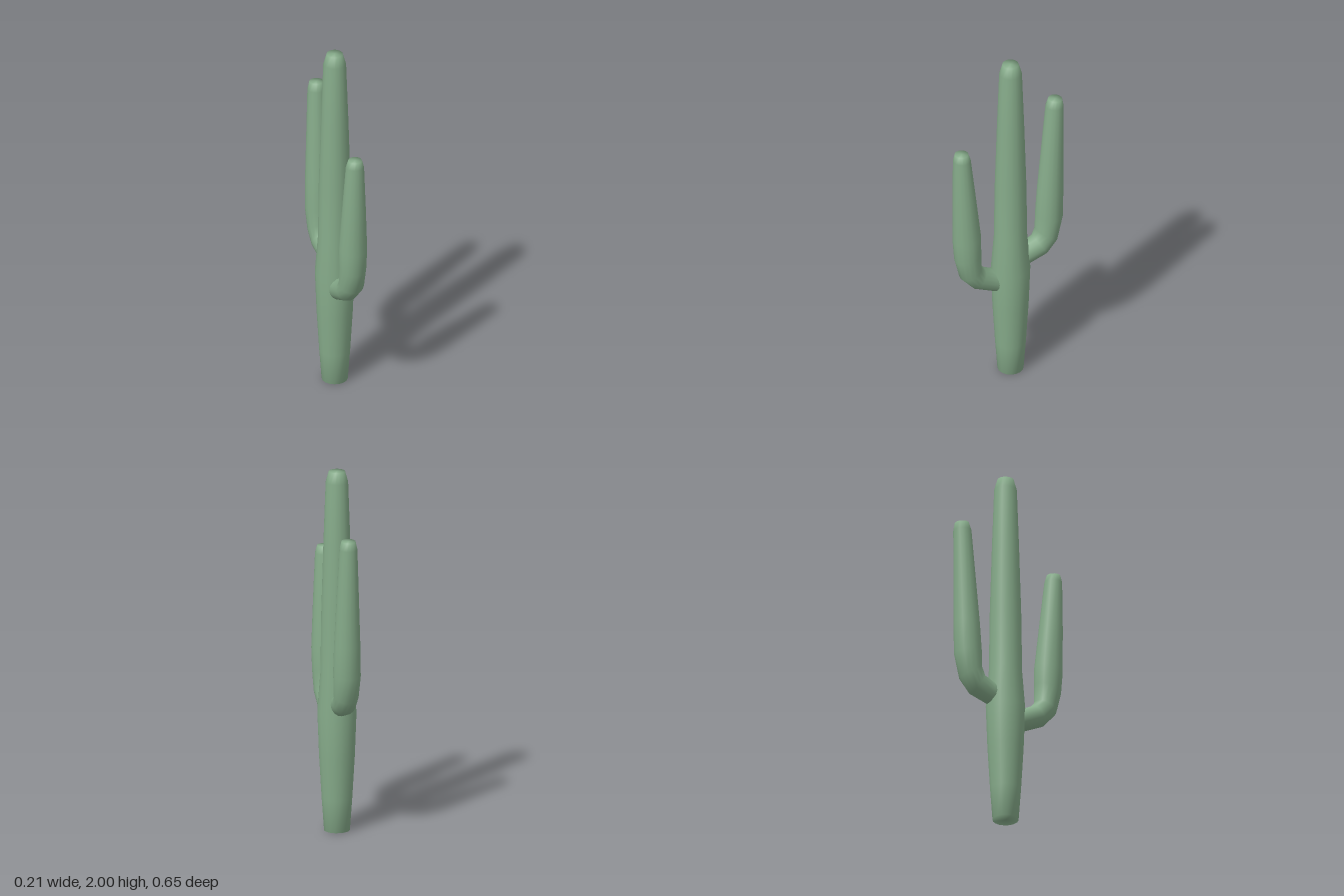
import * as THREE from 'three';

const SIDES = 16;
const material = new THREE.MeshStandardMaterial({ color: 0x86ab8a });

// Lofts a closed smooth skin through elliptical rings.
// Each ring: [centre x, half width in x, z1, y1, z2, y2], where the two (z, y)
// points are opposite ends of the ring in the side plane.
function loft(name, rings) {
  const pos = [], index = [];
  for (const [x, w, z1, y1, z2, y2] of rings) {
    for (let i = 0; i < SIDES; i++) {
      const a = (i / SIDES) * Math.PI * 2, c = Math.cos(a), t = (1 + Math.sin(a)) / 2;
      pos.push(x + w * c, y1 + (y2 - y1) * t, z1 + (z2 - z1) * t);
    }
  }
  for (let r = 0; r < rings.length - 1; r++) {
    for (let i = 0; i < SIDES; i++) {
      const a = r * SIDES + i, b = r * SIDES + (i + 1) % SIDES;
      index.push(a, a + SIDES, b, b, a + SIDES, b + SIDES);
    }
  }
  // end caps
  const last = (rings.length - 1) * SIDES;
  for (const [ring, base] of [[rings[0], 0], [rings[rings.length - 1], last]]) {
    const centre = pos.length / 3;
    pos.push(ring[0], (ring[3] + ring[5]) / 2, (ring[2] + ring[4]) / 2);
    for (let i = 0; i < SIDES; i++) {
      const a = base + i, b = base + (i + 1) % SIDES;
      if (base === 0) index.push(centre, a, b);
      else index.push(centre, b, a);
    }
  }
  const geo = new THREE.BufferGeometry();
  geo.setAttribute('position', new THREE.Float32BufferAttribute(pos, 3));
  geo.setIndex(index);
  geo.computeVertexNormals();
  const mesh = new THREE.Mesh(geo, material);
  mesh.name = name;
  return mesh;
}

export function createModel() {
  const group = new THREE.Group();
  group.name = 'cactus';

  // trunk: [height, radius], swelling around the arm joints
  const trunk = [[0, 0.07], [0.18, 0.083], [0.42, 0.097], [0.66, 0.106], [0.88, 0.089],
    [1.2, 0.085], [1.6, 0.073], [1.94, 0.061], [2, 0.044]];
  group.add(loft('trunk', trunk.map(([y, r]) => [-0.002, r, -0.013 - r, y, -0.013 + r, y])));

  // front arm: inner edge to outer edge
  group.add(loft('frontArm', [
    [-0.01, 0.055, 0.0, 0.64, 0.0, 0.50],
    [-0.008, 0.057, 0.08, 0.67, 0.08, 0.535],
    [-0.004, 0.063, 0.14, 0.70, 0.215, 0.60],
    [0, 0.068, 0.17, 0.74, 0.285, 0.68],
    [0, 0.073, 0.17, 0.84, 0.315, 0.80],
    [0, 0.076, 0.172, 0.95, 0.325, 0.93],
    [0, 0.063, 0.2, 1.2, 0.327, 1.2],
    [0, 0.049, 0.23, 1.46, 0.325, 1.46],
    [0, 0.037, 0.242, 1.5, 0.317, 1.5],
  ]));

  // back arm: outer edge to inner edge
  group.add(loft('backArm', [
    [-0.004, 0.055, 0.0, 0.62, 0.0, 0.76],
    [-0.004, 0.056, -0.11, 0.66, -0.105, 0.795],
    [-0.004, 0.062, -0.22, 0.70, -0.15, 0.815],
    [-0.003, 0.068, -0.285, 0.78, -0.165, 0.86],
    [-0.003, 0.075, -0.316, 0.92, -0.167, 0.95],
    [-0.003, 0.071, -0.32, 1.1, -0.178, 1.11],
    [-0.003, 0.049, -0.324, 1.64, -0.226, 1.645],
    [-0.003, 0.038, -0.317, 1.685, -0.24, 1.69],
  ]));
  return group;
}
